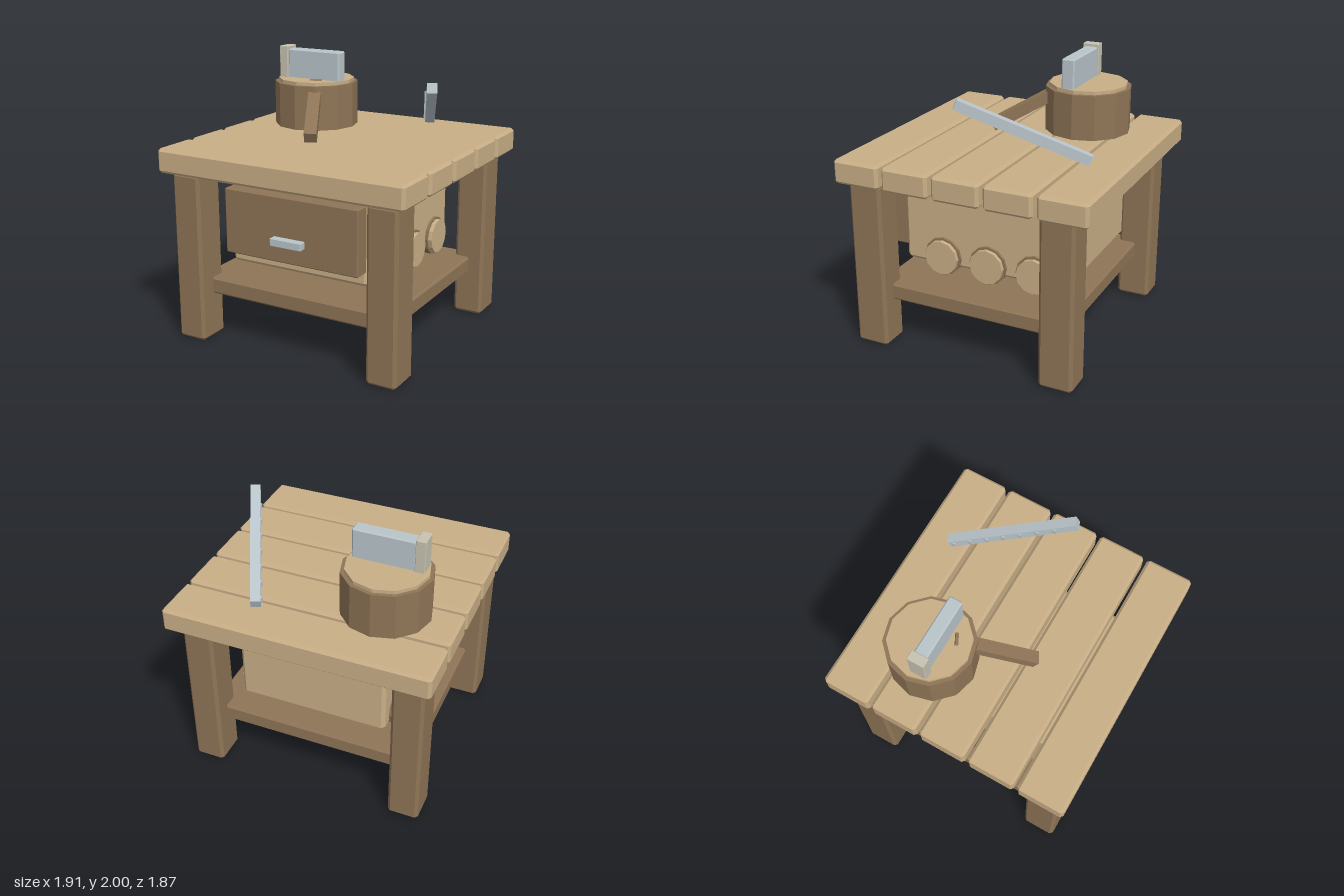
import * as THREE from 'three';
import { ConvexGeometry } from 'three/addons/geometries/ConvexGeometry.js';

const mat = (name, color) => {
  const m = new THREE.MeshStandardMaterial({ color });
  m.name = name;
  m.flatShading = true;
  return m;
};

// Box with chamfered edges and corners
function chamferBox(w, h, d, c) {
  const pts = [];
  for (const x of [-1, 1]) for (const y of [-1, 1]) for (const z of [-1, 1]) {
    const [a, b, e] = [x * w / 2, y * h / 2, z * d / 2];
    pts.push(
      new THREE.Vector3(a, b - y * c, e - z * c),
      new THREE.Vector3(a - x * c, b, e - z * c),
      new THREE.Vector3(a - x * c, b - y * c, e));
  }
  return new ConvexGeometry(pts);
}

export function createModel() {
  const model = new THREE.Group();
  model.name = 'workbench';
  const light = mat('light wood', 0xc8ae86);
  const dark = mat('dark wood', 0x8e7456);
  const steel = mat('steel', 0xb9c4ca);
  const edge = mat('pale steel', 0xc6c1b0);

  const add = (name, geometry, material, parent = model) => {
    const mesh = new THREE.Mesh(geometry, material);
    mesh.name = name;
    parent.add(mesh);
    return mesh;
  };

  // Block given by its minimum and maximum corners
  const block = (name, material, [x0, y0, z0], [x1, y1, z1], c) => {
    const mesh = add(name, chamferBox(x1 - x0, y1 - y0, z1 - z0, c), material);
    mesh.position.set((x0 + x1) / 2, (y0 + y1) / 2, (z0 + z1) / 2);
    return mesh;
  };

  // Square bar running between two points
  const bar = (name, material, from, to, width, height) => {
    const a = new THREE.Vector3(...from), b = new THREE.Vector3(...to);
    const mesh = add(name, new THREE.BoxGeometry(width, height, a.distanceTo(b)), material);
    mesh.position.copy(a).add(b).multiplyScalar(0.5);
    mesh.lookAt(b);
    return mesh;
  };

  // Cut log standing on its base, with a pale cap on top
  const log = (name, radius, height, capRadius, capHeight) => {
    const group = new THREE.Group();
    group.name = name;
    model.add(group);
    add(name + 'Bark', new THREE.CylinderGeometry(radius, radius, height, 12), dark, group)
      .position.y = height / 2;
    add(name + 'Cap', new THREE.CylinderGeometry(capRadius, capRadius, capHeight, 12), light, group)
      .position.y = height + capHeight / 2;
    return group;
  };

  // Table top
  for (let i = 0; i < 5; i++) {
    const z = -0.935 + i * 0.379;
    block('plank', light, [-0.955, 1.235, z], [0.955, 1.41, z + 0.35], 0.02);
  }

  // Legs and lower shelf
  for (const x of [-0.77, 0.77]) for (const z of [-0.695, 0.742])
    block('leg', dark, [x - 0.113, 0, z - 0.125], [x + 0.113, 1.235, z + 0.125], 0.022);
  block('shelf', dark, [-0.77, 0.33, -0.7], [0.77, 0.455, 0.74], 0.015);

  // Cabinet with drawer
  block('cabinet', light, [-0.55, 0.57, -0.63], [0.545, 1.18, 0.63], 0.025);
  block('drawerFront', dark, [-0.53, 0.67, 0.6], [0.53, 1.14, 0.735], 0.008);
  block('drawerHandle', steel, [-0.125, 0.8, 0.73], [0.12, 0.855, 0.79], 0.004);

  // Stored logs, lying along x
  for (const z of [0.32, -0.038, -0.397]) {
    const g = log('log', 0.143, 1.245, 0.127, 0.03);
    g.rotation.z = -Math.PI / 2;
    g.position.set(-0.68, 0.645, z);
  }

  // Chopping block
  log('choppingBlock', 0.315, 0.33, 0.287, 0.025).position.set(-0.445, 1.41, -0.36);

  // Axe stuck in the block
  block('axeHead', steel, [-0.63, 1.74, -0.35], [-0.185, 1.98, -0.252], 0.01);
  block('axeEdge', edge, [-0.695, 1.74, -0.36], [-0.625, 2.0, -0.235], 0.004);
  bar('axeHandle', dark, [-0.12, 1.445, 0.262], [-0.37, 1.74, -0.23], 0.09, 0.08);

  // Saw with small teeth along its side
  const low = [0.355, 1.465, -0.705], high = [0.735, 1.85, 0.095];
  bar('sawBlade', steel, low, high, 0.07, 0.07);
  for (let i = 0; i < 7; i++) {
    const t = 0.035 + i * 0.132;
    const p = low.map((v, k) => v + (high[k] - v) * t);
    add('sawTooth', new THREE.BoxGeometry(0.016, 0.04, 0.03), steel)
      .position.set(p[0] - 0.032, p[1], p[2] + 0.012);
  }
  return model;
}
